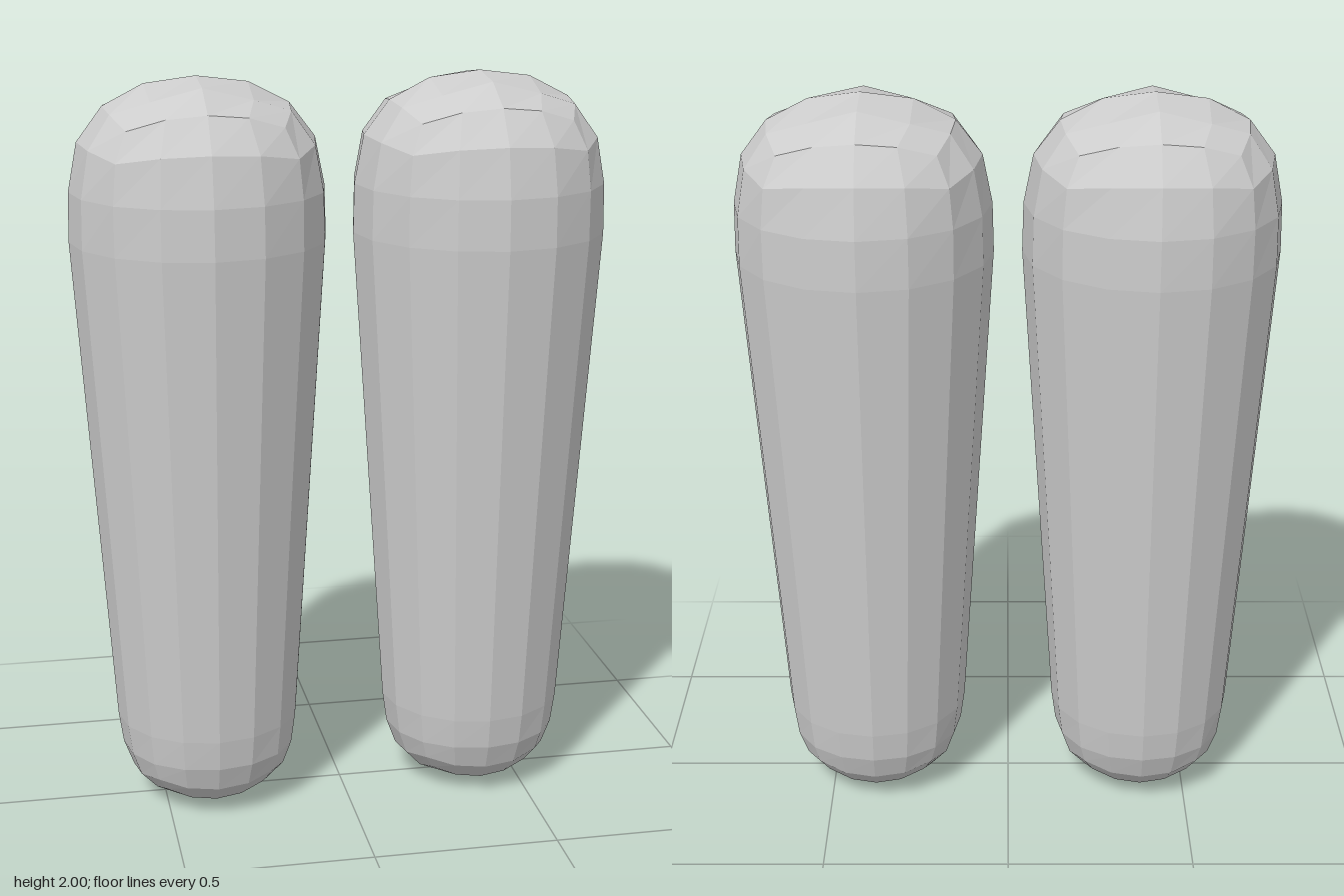
import * as THREE from 'three';

// Rings from pole to shaft: [radius, height, squareness, drop at the corners]
const TOP = [
  [0, 2.0, 0, 0],
  [0.135, 1.983, 0.9, 0.033],
  [0.242, 1.928, 0.4, 0.04],
  [0.31, 1.838, 0.12, 0.025],
  [0.335, 1.71, 0.02, 0],
  [0.338, 1.58, 0, 0],
];
const BOTTOM = [
  [0, 0.004, 0, 0],
  [0.085, 0.015, 0.9, -0.02],
  [0.162, 0.043, 0.4, -0.028],
  [0.212, 0.095, 0.12, -0.018],
  [0.238, 0.165, 0.02, 0],
  [0.25, 0.25, 0, 0],
];

// Tapered capsule: a gridded box whose vertices are moved onto rounded rings
function capsuleGeometry() {
  const geo = new THREE.BoxGeometry(4, 7, 4, 4, 7, 4);
  const pos = geo.attributes.position;
  for (let n = 0; n < pos.count; n++) {
    const i = Math.round(pos.getX(n));
    const j = Math.round(pos.getZ(n));
    const level = Math.round(pos.getY(n) + 3.5);
    const isTop = level > 3;
    const fromEnd = isTop ? 7 - level : level;
    const m = Math.max(Math.abs(i), Math.abs(j));
    const ring = fromEnd === 0 ? m : 2 + fromEnd;
    const [r, y, square, drop] = (isTop ? TOP : BOTTOM)[ring];
    if (m === 0) {
      pos.setXYZ(n, 0, y, 0);
      continue;
    }
    // Blend the square outline with a circle of evenly spaced points
    const u = i / m, v = j / m;
    const t = Math.min(Math.abs(u), Math.abs(v));
    const a = t * Math.PI / 4;
    const alongX = Math.abs(u) >= Math.abs(v);
    const cx = Math.sign(u) * (alongX ? Math.cos(a) : Math.sin(a));
    const cz = Math.sign(v) * (alongX ? Math.sin(a) : Math.cos(a));
    pos.setXYZ(
      n,
      r * THREE.MathUtils.lerp(cx, u, square),
      y - drop * t * t,
      r * THREE.MathUtils.lerp(cz, v, square)
    );
  }
  geo.computeVertexNormals();
  return geo;
}

export function createModel() {
  const group = new THREE.Group();
  group.name = 'taperedCapsulePair';
  const grey = new THREE.MeshStandardMaterial({ color: 0xcccccc, flatShading: true });
  grey.name = 'light grey';
  const geo = capsuleGeometry();
  for (const side of [-1, 1]) {
    const capsule = new THREE.Mesh(geo, grey);
    capsule.name = side > 0 ? 'leftCapsule' : 'rightCapsule';
    capsule.position.x = side * 0.375;
    group.add(capsule);
  }
  return group;
}
